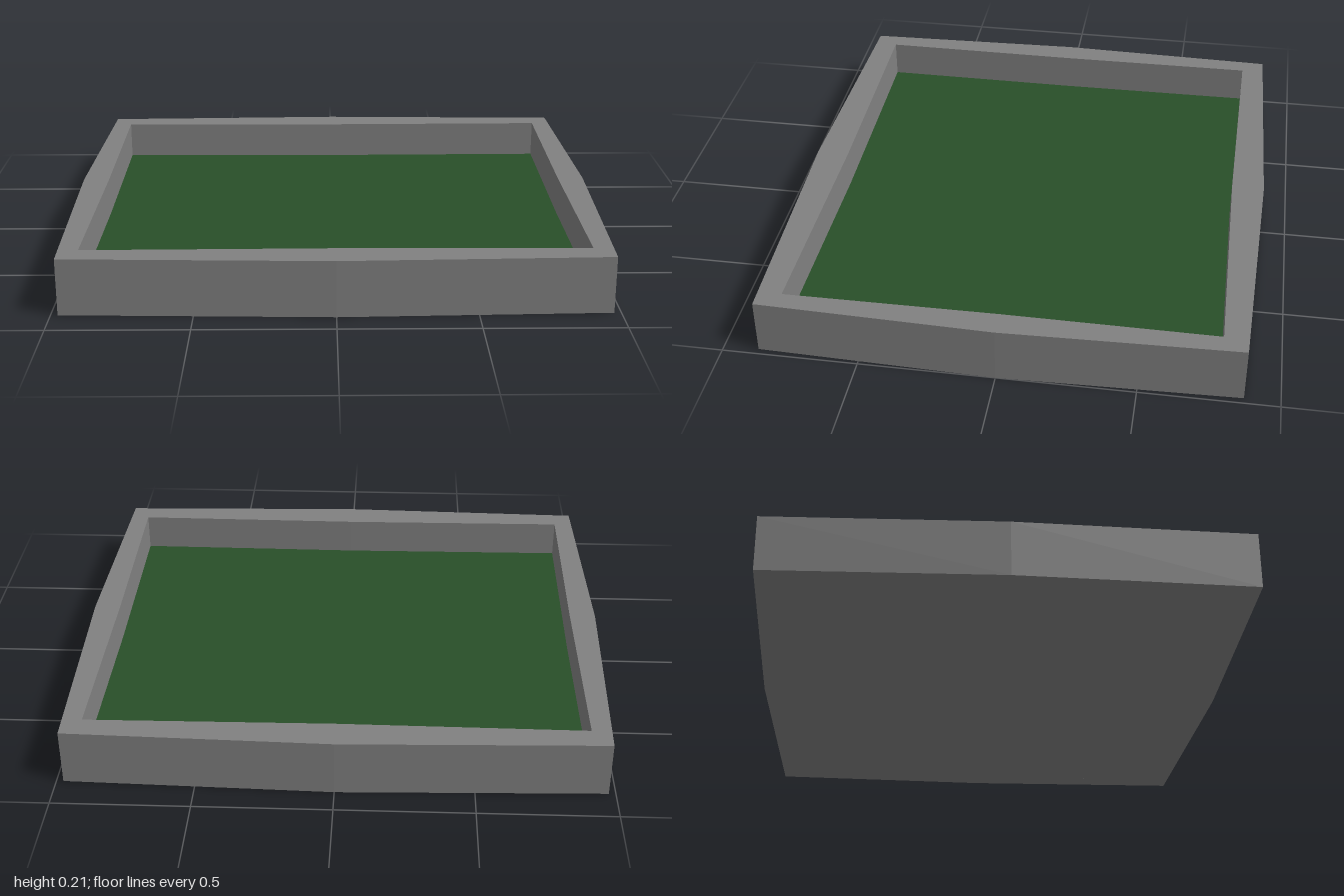
import * as THREE from 'three';

const HEIGHT = 0.21;
const FLOOR = 0.065;

// Eight-point outline: four corners plus the middle of each side
function outline(cornerX, cornerZ, midX, midZ, Type = THREE.Shape) {
  return new Type([
    [cornerX, cornerZ], [0, midZ], [-cornerX, cornerZ], [-midX, 0],
    [-cornerX, -cornerZ], [0, -midZ], [cornerX, -cornerZ], [midX, 0],
  ].map(([x, z]) => new THREE.Vector2(x, z)));
}

export function createModel() {
  const stone = new THREE.MeshStandardMaterial({ color: 0x808080 });
  stone.name = 'stone grey';
  const grass = new THREE.MeshStandardMaterial({ color: 0x284f28 });
  grass.name = 'dark green';

  const model = new THREE.Group();
  model.name = 'tray';
  const add = (name, geometry, material) => {
    const mesh = new THREE.Mesh(geometry, material);
    mesh.name = name;
    model.add(mesh);
  };

  const inner = [0.905, 0.785, 0.9, 0.776];

  // Raised border with slightly bowed sides
  const border = outline(0.975, 0.872, 1, 0.9);
  border.holes.push(outline(...inner, THREE.Path));
  add('border', new THREE.ExtrudeGeometry(border, { depth: HEIGHT, bevelEnabled: false })
    .rotateX(-Math.PI / 2), stone);

  // Sunken green floor
  add('floor', new THREE.ShapeGeometry(outline(...inner))
    .rotateX(-Math.PI / 2).translate(0, FLOOR, 0), grass);

  // Underside closing the border
  add('underside', new THREE.ShapeGeometry(outline(...inner)).rotateX(Math.PI / 2), stone);

  return model;
}
